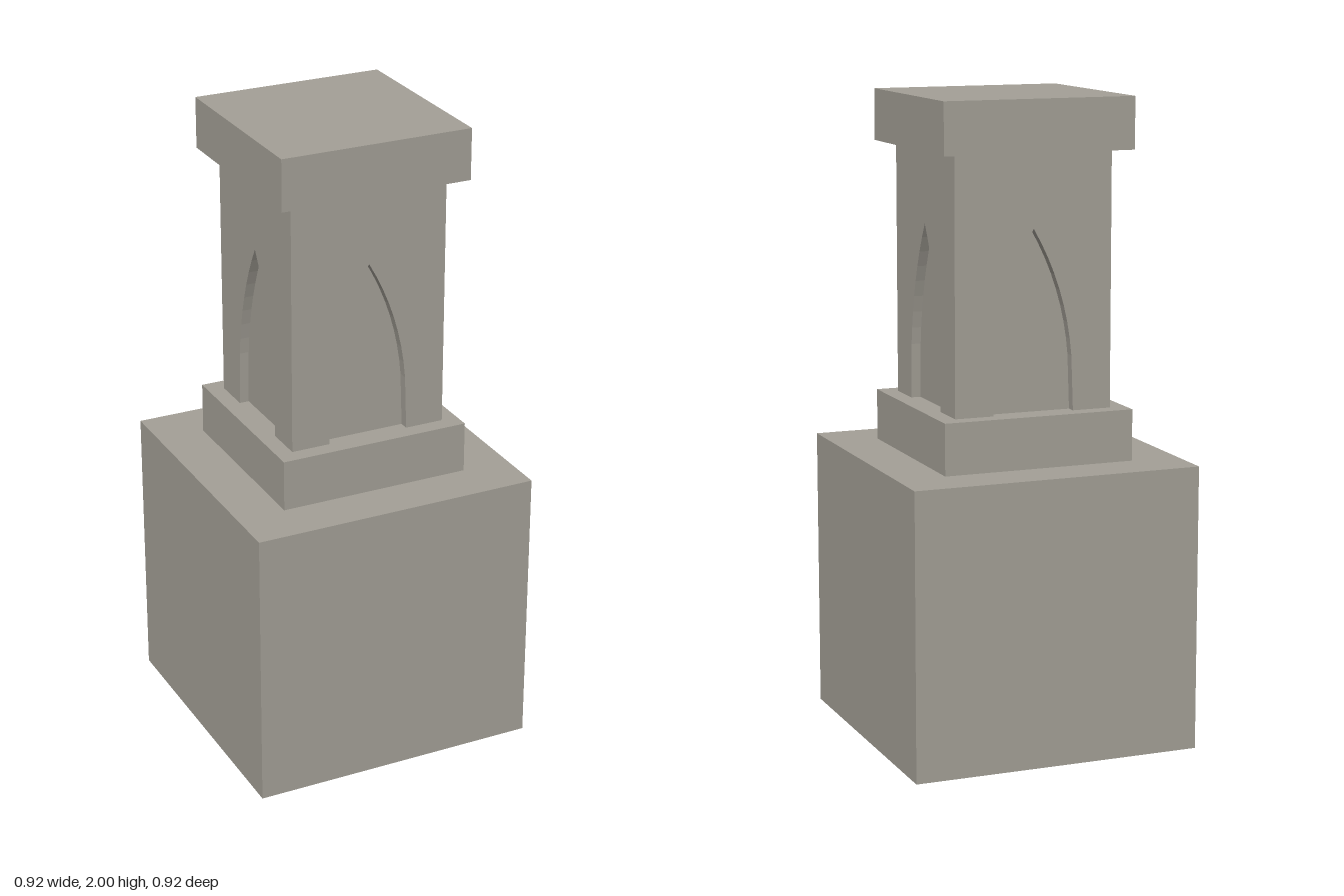
import * as THREE from 'three';

export function createModel() {
  const group = new THREE.Group();
  const stone = new THREE.MeshStandardMaterial({ color: 0xa4a097 });
  stone.name = 'warm grey stone';

  const block = (name, width, y0, y1) => {
    const mesh = new THREE.Mesh(new THREE.BoxGeometry(width, y1 - y0, width), stone);
    mesh.name = name;
    mesh.position.y = (y0 + y1) / 2;
    group.add(mesh);
  };

  const half = 0.253, depth = 0.03, inner = half - depth;
  const bottom = 1.05, top = 1.84;

  // Stacked square blocks
  block('pedestal', 0.916, 0, 0.89);
  block('plinth', 0.61, 0.89, bottom);
  block('shaftCore', inner * 2, bottom, top);
  block('cap', 0.61, top, 2);

  // Shaft facing with a pointed-arch notch rising from the plinth
  const facing = (w) => {
    const s = new THREE.Shape();
    s.moveTo(-w, bottom);
    s.lineTo(-0.13, bottom);
    s.lineTo(-0.124, 1.22);
    s.quadraticCurveTo(-0.107, 1.43, 0, 1.61);
    s.quadraticCurveTo(0.107, 1.43, 0.124, 1.22);
    s.lineTo(0.13, bottom);
    s.lineTo(w, bottom);
    s.lineTo(w, top);
    s.lineTo(-w, top);
    s.closePath();
    return new THREE.ExtrudeGeometry(s, { depth, bevelEnabled: false, curveSegments: 8 })
      .translate(0, 0, inner);
  };

  // Front and back facings cover the corners, side facings fit between them
  ['front', 'left', 'back', 'right'].forEach((side, i) => {
    const mesh = new THREE.Mesh(facing(i % 2 ? inner : half), stone);
    mesh.name = side + 'ArchFacing';
    mesh.rotation.y = i * Math.PI / 2;
    group.add(mesh);
  });

  return group;
}
